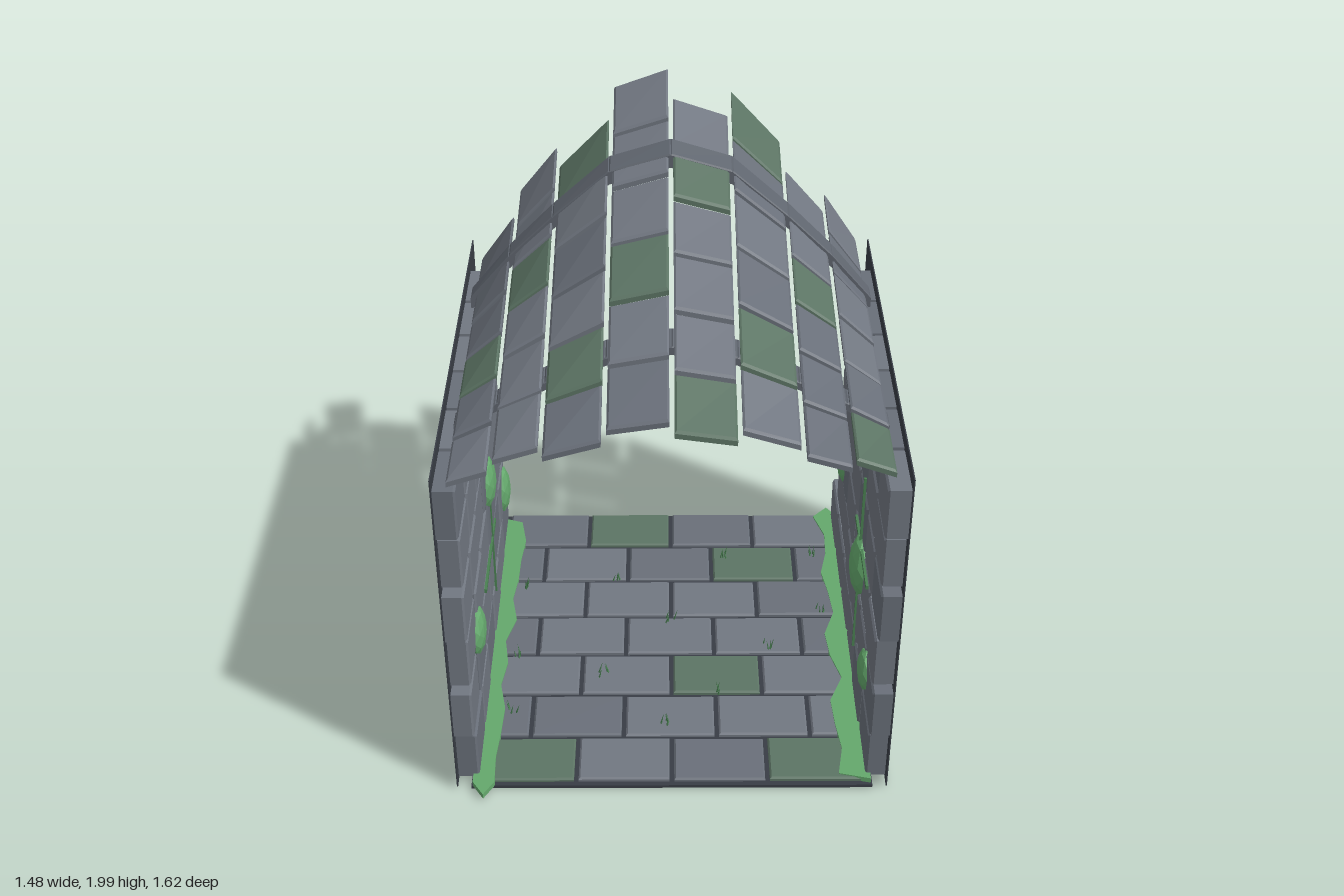
import * as THREE from 'three';
import { mergeGeometries } from 'three/addons/utils/BufferGeometryUtils.js';

export function createModel() {
  const root = new THREE.Group();
  root.name = 'stoneTunnel';
  const mat = (name, color) => {
    const m = new THREE.MeshStandardMaterial({ color });
    m.name = name;
    return m;
  };
  const mats = {
    stone: mat('stone', 0x717781),
    stoneDark: mat('darker stone', 0x696f79),
    mossStone: mat('mossy stone', 0x5c7464),
    mortar: mat('mortar', 0x383d45),
    rib: mat('rib stone', 0x5f656e),
    moss: mat('moss', 0x64a86c),
    vine: mat('vine', 0x4a8052),
  };
  let seed = 7;
  const rand = () => (seed = (seed * 16807) % 2147483647) / 2147483647;
  const lerp = THREE.MathUtils.lerp;

  // Flat shaded geometry without index, ready to merge
  const flat = (g) => {
    const f = g.index ? g.toNonIndexed() : g;
    f.deleteAttribute('uv');
    f.computeVertexNormals();
    return f;
  };
  const addMesh = (name, geos, m, parent = root) => {
    if (!geos.length) return;
    const mesh = new THREE.Mesh(mergeGeometries(geos.map(flat)), m);
    mesh.name = name;
    parent.add(mesh);
  };
  // Adds one mesh for each stone colour
  const addStones = (name, lists) => {
    const g = new THREE.Group();
    g.name = name;
    for (const k of Object.keys(lists)) addMesh(`${name}_${k}`, lists[k], mats[k], g);
    root.add(g);
  };
  const newLists = () => ({ stone: [], stoneDark: [], mossStone: [] });
  const plainStone = () => (rand() < 0.6 ? 'stone' : 'stoneDark');

  // Block standing on y = 0 with a chamfered upper rim
  const block = (w, h, d, b = 0.008) => {
    const g = new THREE.BoxGeometry(w, h, d, 1, 2, 1);
    const p = g.attributes.position;
    for (let i = 0; i < p.count; i++) {
      const y = p.getY(i);
      if (y > 0.25 * h) {
        p.setX(i, p.getX(i) - Math.sign(p.getX(i)) * b);
        p.setZ(i, p.getZ(i) - Math.sign(p.getZ(i)) * b);
      }
      p.setY(i, y > 0.25 * h ? h : y < -0.25 * h ? 0 : h - b);
    }
    return g;
  };

  // Backing panels
  const base = new THREE.BoxGeometry(1.38, 0.012, 1.53).translate(0, 0.008, -0.015);
  addMesh('floorBacking', [base], mats.mortar);
  for (const s of [-1, 1]) {
    const panel = new THREE.BoxGeometry(0.004, 1.3, 1.53).translate(s * 0.738, 0.66, -0.015);
    addMesh(s > 0 ? 'leftWallBacking' : 'rightWallBacking', [panel], mats.mortar);
  }

  // Brick walls in running bond, chamfers facing inward
  for (const s of [-1, 1]) {
    const lists = newLists();
    for (let row = 0; row < 6; row++) {
      const z0 = row % 2 ? -0.64 : -0.775, z1 = row % 2 ? 0.745 : 0.72, step = (z1 - z0) / 6;
      for (let i = 0; i < 6; i++) {
        const g = block(0.187, 0.068 + rand() * 0.007, step - 0.016, 0.007);
        g.rotateZ(s * Math.PI / 2);
        g.translate(s * 0.736, 0.117 + row * 0.21, z0 + (i + 0.5) * step);
        lists[plainStone()].push(g);
      }
    }
    addStones(s > 0 ? 'leftWallBricks' : 'rightWallBricks', lists);
  }

  // Floor slabs
  const floor = newLists();
  const mossyFloor = ['0,1', '1,3', '6,0', '6,3', '4,2'];
  for (let row = 0; row < 7; row++) {
    const cuts = row % 2 ? [-0.66, -0.5, -0.17, 0.16, 0.49, 0.66] : [-0.66, -0.33, 0, 0.33, 0.66];
    for (let i = 0; i < cuts.length - 1; i++) {
      const g = block(cuts[i + 1] - cuts[i] - 0.016, 0.014 + rand() * 0.005, 0.2, 0.006);
      g.translate((cuts[i] + cuts[i + 1]) / 2, 0.012, -0.67 + row * 0.217);
      floor[mossyFloor.includes(`${row},${i}`) ? 'mossStone' : plainStone()].push(g);
    }
  }
  addStones('floorSlabs', floor);

  // Vault: heights of its underside at the front and the back
  const edgeX = [-0.7, -0.558, -0.402, -0.207, 0, 0.207, 0.402, 0.558, 0.7];
  const front = [0, 0.045, 0.09, 0.145, 0.175];
  const back = [0, 0.215, 0.41, 0.625, 0.7];
  const edgeY = (k, z) => {
    const j = k > 4 ? 8 - k : k;
    return 1.27 + lerp(front[j], back[j], (0.75 - z) / 1.53);
  };
  const roofBlock = (col, z0, z1, h, lift, gap, b, spread = 1) => {
    const xa = edgeX[col], xb = edgeX[col + 1];
    const g = block(xb - xa - gap, h, z1 - z0, b);
    g.translate((xa + xb) / 2, lift, (z0 + z1) / 2);
    const p = g.attributes.position;
    for (let i = 0; i < p.count; i++) {
      const x = p.getX(i), z = p.getZ(i);
      p.setY(i, p.getY(i) + lerp(edgeY(col, z), edgeY(col + 1, z), (x - xa) / (xb - xa)));
      p.setX(i, x * spread);
    }
    return g;
  };
  const roof = newLists();
  const mossyRoof = ['0,3', '1,2', '2,0', '2,4', '3,3', '4,1', '4,5', '5,0', '5,4', '6,2', '7,5'];
  for (let col = 0; col < 8; col++) {
    const z0 = col % 2 ? -0.78 : -0.64, z1 = col % 2 ? 0.705 : 0.745, step = (z1 - z0) / 6;
    for (let i = 0; i < 6; i++) {
      const a = z0 + i * step;
      const g = roofBlock(col, a, a + step - 0.018, 0.025, (rand() - 0.5) * 0.006, 0.016, 0.007);
      roof[mossyRoof.includes(`${col},${i}`) ? 'mossStone' : plainStone()].push(g);
    }
  }
  addStones('roofTiles', roof);

  // Arch ribs across the vault
  const ribs = [[-0.44, -0.365, 0.05, -0.018, 1.015], [0.325, 0.4, 0.03, -0.024, 1]];
  ribs.forEach(([z0, z1, h, lift, spread], n) => {
    const geos = edgeX.slice(1).map((_, col) => roofBlock(col, z0, z1, h, lift, 0, 0.004, spread));
    addMesh(n ? 'frontRib' : 'backRib', geos, mats.rib);
  });

  // Moss cushions on the walls: side, y, z, radius
  const cushions = [
    [-1, 0.46, 0.45, 0.09], [-1, 0.69, -0.1, 0.1], [-1, 0.31, -0.57, 0.1], [-1, 1.1, 0.07, 0.1],
    [1, 1.14, -0.24, 0.085], [1, 0.55, 0.21, 0.12], [1, 0.52, -0.46, 0.085], [1, 0.33, 0.51, 0.08],
  ].map(([s, y, z, r]) => {
    const g = new THREE.IcosahedronGeometry(r, 1);
    g.scale(0.36, 1, 0.75 + rand() * 0.15);
    return g.translate(s * 0.668, y, z);
  });
  addMesh('wallMoss', cushions, mats.moss);

  // Jagged moss strips where the floor meets the walls
  for (const s of [-1, 1]) {
    const tip = -s * 0.81;
    const pts = [[s * 0.645, tip]];
    for (let i = 0; i <= 12; i++) pts.push([s * (0.575 + rand() * 0.055), -s * (0.75 - i * 0.122)]);
    pts.push([s * 0.685, s * 0.74], [s * 0.685, -s * 0.75]);
    const shape = new THREE.Shape(pts.map(([x, z]) => new THREE.Vector2(x, -z)));
    const g = new THREE.ExtrudeGeometry(shape, { depth: 0.02, bevelEnabled: false });
    g.rotateX(-Math.PI / 2).translate(0, 0.014, 0);
    addMesh(s > 0 ? 'leftFloorMoss' : 'rightFloorMoss', [g], mats.moss);
  }

  // Thin vines and mossy joints on the walls: side, y, z, height, length
  const strips = [
    [-1, 0.43, -0.1, 0.5, 0.008], [1, 0.55, 0.21, 0.75, 0.008],
    [-1, 0.432, 0, 0.016, 0.42], [1, 0.642, 0.25, 0.016, 0.4], [-1, 0.852, -0.4, 0.016, 0.25],
  ].map(([s, y, z, h, d]) => new THREE.BoxGeometry(0.009, h, d).translate(s * 0.661, y, z));
  addMesh('vines', strips, mats.vine);

  // Grass tufts
  const blades = [];
  const tufts = [
    [-0.57, 0.4], [-0.57, 0.1], [-0.58, -0.3], [-0.25, 0.2], [-0.21, -0.35], [-0.02, 0.45], [0, -0.1],
    [0.16, 0.3], [0.21, -0.5], [0.36, 0.05], [0.57, -0.5], [0.57, -0.15],
  ];
  for (const [x, z] of tufts) {
    for (let i = 0; i < 4; i++) {
      const h = 0.03 + rand() * 0.025;
      const g = new THREE.ConeGeometry(0.004, h, 3).translate(0, h / 2, 0);
      g.rotateZ((rand() - 0.5) * 0.6);
      blades.push(g.translate(x + (rand() - 0.5) * 0.04, 0.026, z + (rand() - 0.5) * 0.04));
    }
  }
  addMesh('grass', blades, mats.vine);

  return root;
}
